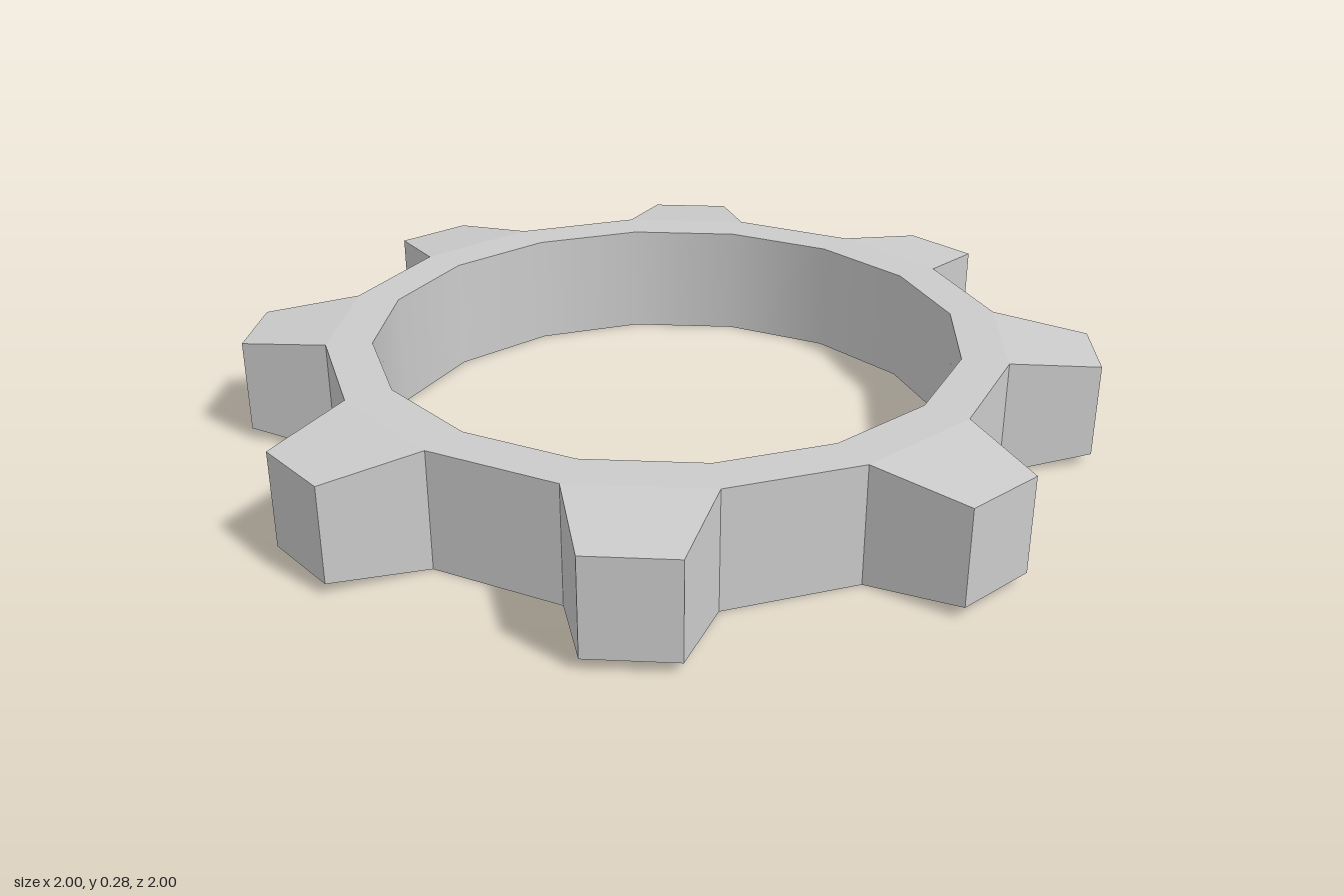
import * as THREE from 'three';

const TEETH = 8;
const STEP = Math.PI / TEETH;              // one tooth or one gap
const INNER = 0.69, ROOT = 0.797, TIP = 1.005;
const HEIGHT = 0.277, TAPER = 0.027;       // teeth get thinner towards the tip

// Bottom and top corner at a radius and an angle (in steps, counter-clockwise from above)
function corner(radius, k, inset = 0) {
  const x = radius * Math.cos(k * STEP), z = -radius * Math.sin(k * STEP);
  return { low: [x, inset, z], high: [x, HEIGHT - inset, z] };
}

function quad(out, a, b, c, d) {
  out.push(...a, ...b, ...c, ...a, ...c, ...d);
}

// Upper and lower face of a four-cornered outline
function caps(out, a, b, c, d) {
  quad(out, a.high, b.high, c.high, d.high);
  quad(out, d.low, c.low, b.low, a.low);
}

function wall(out, p, q) {
  quad(out, p.low, q.low, q.high, p.high);
}

function flatMesh(name, positions, material) {
  const geometry = new THREE.BufferGeometry();
  geometry.setAttribute('position', new THREE.Float32BufferAttribute(positions, 3));
  geometry.computeVertexNormals();
  const mesh = new THREE.Mesh(geometry, material);
  mesh.name = name;
  return mesh;
}

export function createModel() {
  const group = new THREE.Group();
  group.name = 'gear';
  const material = new THREE.MeshStandardMaterial({ color: 0xcccccc, flatShading: true });

  // Ring faces, with outer walls in the gaps and a tapered tooth on every other section
  const ring = [];
  for (let k = 0; k < TEETH * 2; k++) {
    const start = corner(ROOT, k), end = corner(ROOT, k + 1);
    caps(ring, corner(INNER, k), start, end, corner(INNER, k + 1));
    if (k % 2) {
      wall(ring, start, end);
      continue;
    }
    const tooth = [];
    const tipA = corner(TIP, k + 0.25, TAPER), tipB = corner(TIP, k + 0.75, TAPER);
    caps(tooth, start, tipA, tipB, end);
    wall(tooth, start, tipA);
    wall(tooth, tipA, tipB);
    wall(tooth, tipB, end);
    group.add(flatMesh(`tooth${k / 2 + 1}`, tooth, material));
  }
  group.add(flatMesh('ring', ring, material));

  // Smooth wall of the central hole, seen from inside
  const bore = new THREE.Mesh(
    new THREE.CylinderGeometry(INNER, INNER, HEIGHT, TEETH * 2, 1, true),
    new THREE.MeshStandardMaterial({ color: 0xcccccc, side: THREE.BackSide })
  );
  bore.name = 'boreWall';
  bore.position.y = HEIGHT / 2;
  group.add(bore);

  return group;
}
